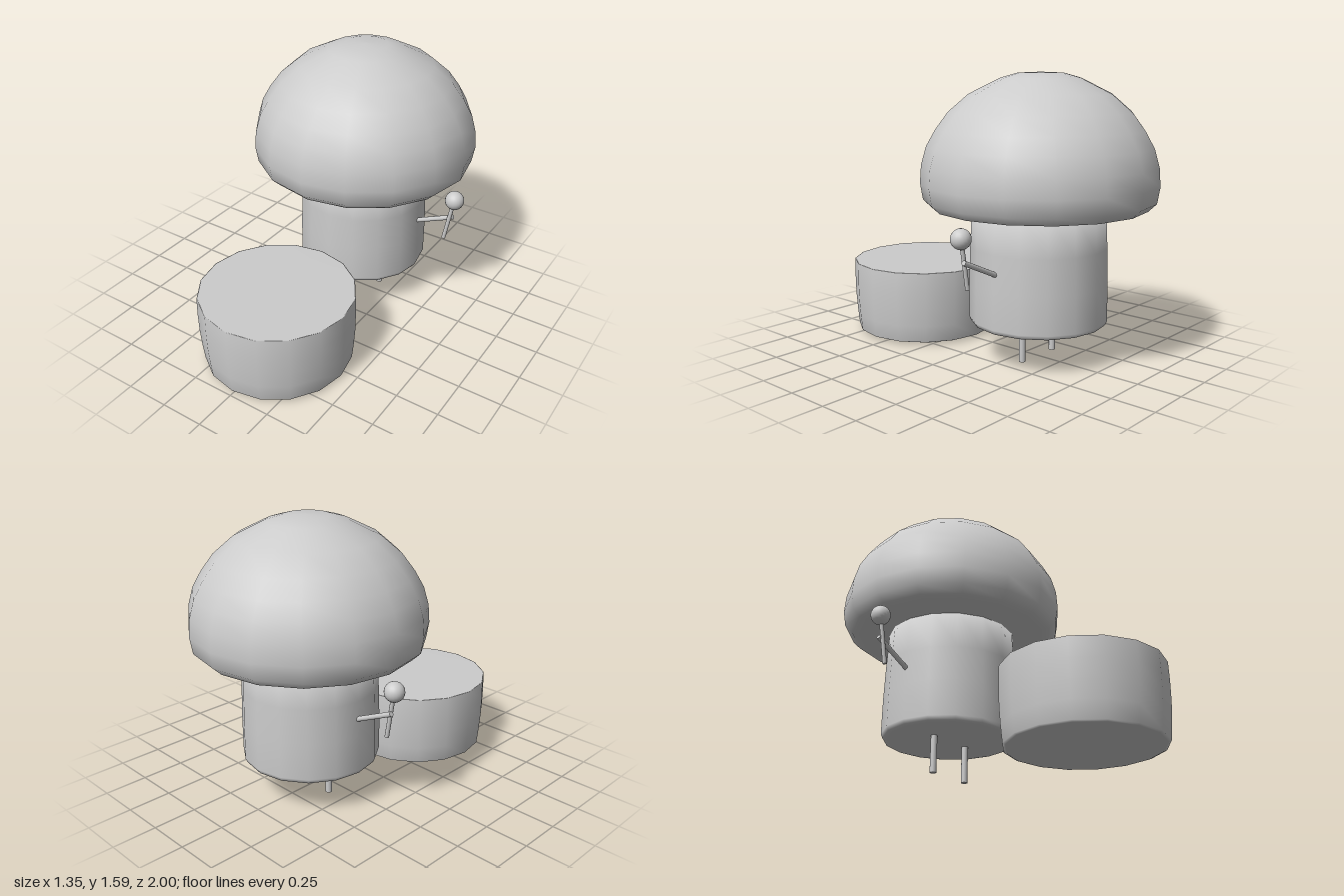
import * as THREE from 'three';

const material = new THREE.MeshStandardMaterial({ color: 0xcccccc });
const Z = -0.345; // centre of the mushroom

function add(parent, name, geometry) {
  const mesh = new THREE.Mesh(geometry, material);
  mesh.name = name;
  parent.add(mesh);
  return mesh;
}

// Round body from a [radius, height] profile running bottom to top
function lathe(parent, name, profile, z) {
  const points = profile.map(([r, y]) => new THREE.Vector2(r, y));
  const mesh = add(parent, name, new THREE.LatheGeometry(points, 16));
  mesh.position.z = z;
  return mesh;
}

// Thin straight rod between two points
function rod(parent, name, from, to, radius) {
  const a = new THREE.Vector3(...from);
  const b = new THREE.Vector3(...to);
  const dir = b.clone().sub(a);
  const mesh = add(parent, name, new THREE.CylinderGeometry(radius, radius, dir.length(), 12));
  mesh.position.copy(a).add(b).multiplyScalar(0.5);
  mesh.quaternion.setFromUnitVectors(new THREE.Vector3(0, 1, 0), dir.normalize());
  return mesh;
}

export function createModel() {
  const model = new THREE.Group();
  model.name = 'mushroomDrummer';

  // Domed cap with a rounded lower rim and flat underside
  lathe(model, 'cap', [
    [0, 0.86], [0.35, 0.858], [0.54, 0.858], [0.595, 0.867], [0.64, 0.91],
    [0.655, 1.0], [0.648, 1.1], [0.62, 1.2], [0.57, 1.29], [0.5, 1.385],
    [0.39, 1.48], [0.22, 1.565], [0.125, 1.592], [0, 1.597],
  ], Z);

  // Slightly tapered stem
  lathe(model, 'stem', [
    [0, 0.217], [0.35, 0.218], [0.38, 0.222], [0.39, 0.245],
    [0.389, 0.45], [0.383, 0.65], [0.373, 0.87], [0, 0.87],
  ], Z);

  // Drum in front: narrower base, crisp top edge
  lathe(model, 'drum', [
    [0, 0.003], [0.2, 0.01], [0.41, 0.016], [0.426, 0.022], [0.436, 0.12],
    [0.443, 0.22], [0.445, 0.33], [0.443, 0.44], [0.438, 0.442], [0, 0.443],
  ], 0.555);

  // Legs, arms and drumsticks on both sides
  for (const [side, s] of [['left', 1], ['right', -1]]) {
    rod(model, side + 'Leg', [s * 0.137, 0.005, Z + 0.005], [s * 0.137, 0.23, Z + 0.005], 0.019);
    rod(model, side + 'Arm', [s * 0.36, 0.54, -0.351], [s * 0.613, 0.654, -0.345], 0.014);

    const stick = new THREE.Group();
    stick.name = side + 'Drumstick';
    model.add(stick);
    rod(stick, 'stickShaft', [s * 0.57, 0.505, -0.33], [s * 0.613, 0.745, -0.333], 0.012);
    add(stick, 'stickHead', new THREE.SphereGeometry(0.055, 20, 14)).position.set(s * 0.62, 0.776, -0.333);
  }
  return model;
}
